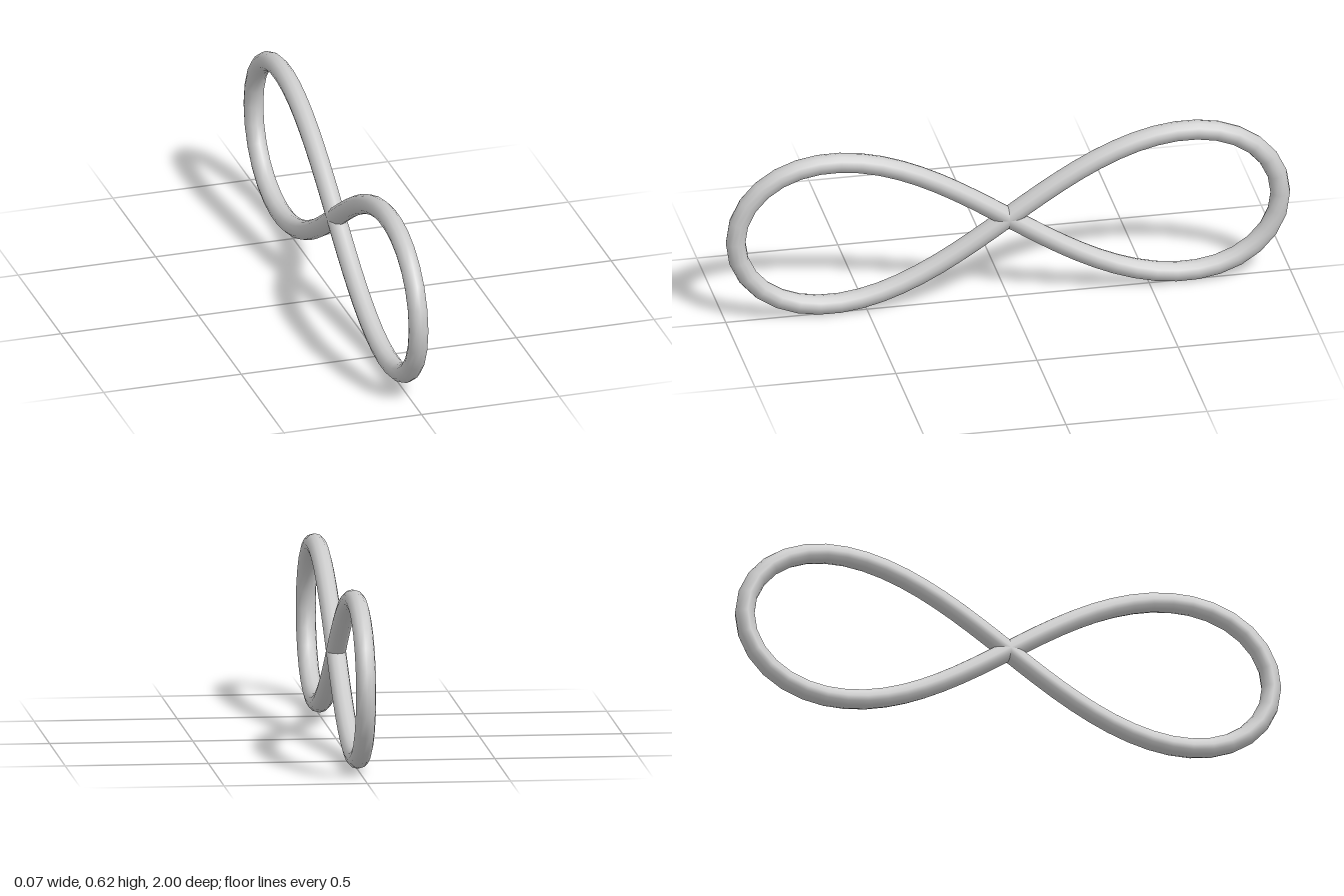
import * as THREE from 'three';

const RADIUS = 0.035;   // tube thickness
const REACH = 0.965;    // half length of the centre line
const RISE = 0.274;     // half height of the centre line
const ROUND = 0.43;     // fullness of the loop ends

// Planar figure-eight in the y-z plane
class FigureEight extends THREE.Curve {
  getPoint(u, target = new THREE.Vector3()) {
    const t = u * Math.PI * 2 + Math.PI / 2; // starts at the crossing
    const s = Math.sin(t), c = Math.cos(t);
    const d = 1 + ROUND * s * s;
    const lift = 2 * RISE * Math.sqrt(1 + ROUND);
    return target.set(0, RISE + RADIUS + (lift * s * c) / d, (REACH * c) / d);
  }
}

export function createModel() {
  const group = new THREE.Group();
  group.name = 'figureEight';

  // One closed round tube that crosses itself in the middle
  const loop = new THREE.Mesh(
    new THREE.TubeGeometry(new FigureEight(), 64, RADIUS, 12, true),
    new THREE.MeshStandardMaterial({ color: 0xcccccc })
  );
  loop.name = 'loopTube';
  group.add(loop);

  return group;
}
